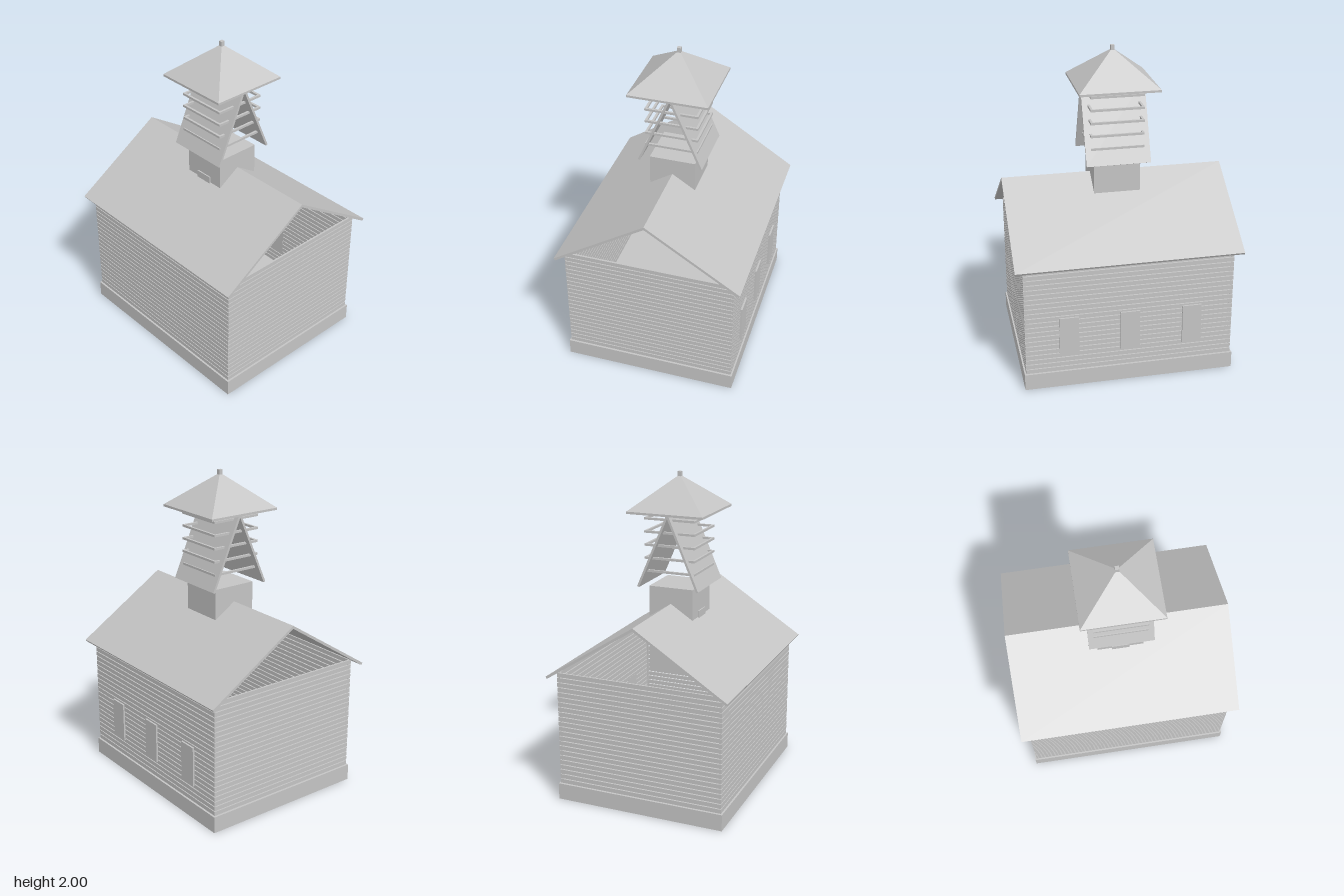
import * as THREE from 'three';

const grey = new THREE.MeshStandardMaterial({ color: 0xc4c4c4 });
grey.name = 'plain grey';
const greyTwoSided = new THREE.MeshStandardMaterial({ color: 0xc4c4c4, side: THREE.DoubleSide });
greyTwoSided.name = 'plain grey';

// Box given by its min and max corners
function box(parent, name, x0, x1, y0, y1, z0, z1) {
  const m = new THREE.Mesh(new THREE.BoxGeometry(x1 - x0, y1 - y0, z1 - z0), grey);
  m.position.set((x0 + x1) / 2, (y0 + y1) / 2, (z0 + z1) / 2);
  m.name = name;
  parent.add(m);
  return m;
}

// Inverted V of constant thickness, extruded along x
function gable(parent, name, halfX, halfZ, eaveY, ridgeY, t) {
  const s = new THREE.Shape();
  const len = Math.hypot(halfZ, ridgeY - eaveY);
  const nz = t * (ridgeY - eaveY) / len, ny = t * halfZ / len;
  const drop = t * len / halfZ;
  s.moveTo(0, ridgeY);
  s.lineTo(-halfZ, eaveY);
  s.lineTo(-halfZ + nz, eaveY - ny);
  s.lineTo(0, ridgeY - drop);
  s.lineTo(halfZ - nz, eaveY - ny);
  s.lineTo(halfZ, eaveY);
  s.closePath();
  const g = new THREE.ExtrudeGeometry(s, { depth: halfX * 2, bevelEnabled: false });
  g.translate(0, 0, -halfX);
  g.rotateY(Math.PI / 2);
  const m = new THREE.Mesh(g, grey);
  m.name = name;
  parent.add(m);
}

// Rectangular ring of four bars
function ring(parent, name, hx, hz, y, h, t) {
  const g = new THREE.Group();
  g.name = name;
  for (const s of [-1, 1]) {
    const z = s * (hz - t / 2), x = s * (hx - t / 2);
    box(g, 'longBar', -hx, hx, y, y + h, z - t / 2, z + t / 2);
    box(g, 'endBar', x - t / 2, x + t / 2, y, y + h, -hz + t, hz - t);
  }
  parent.add(g);
}

export function createModel() {
  const model = new THREE.Group();
  model.name = 'house';

  // Foundation
  box(model, 'foundation', -0.66, 0.66, 0, 0.105, -0.545, 0.545);

  // Hollow walls of spaced boards, with corner posts
  const walls = new THREE.Group();
  walls.name = 'walls';
  const rows = 23, pitch = 0.032;
  for (let i = 0; i < rows; i++) ring(walls, 'boardRow', 0.65, 0.535, 0.108 + i * pitch, 0.026, 0.012);
  for (const sx of [-1, 1]) for (const sz of [-1, 1]) {
    const x = sx * 0.638, z = sz * 0.523;
    box(walls, 'cornerPost', x - 0.006, x + 0.006, 0.1, 0.84, z - 0.006, z + 0.006);
  }
  model.add(walls);

  // Back windows
  for (const x of [-0.39, 0, 0.38])
    box(model, 'window', x - 0.06, x + 0.06, 0.22, 0.475, -0.546, -0.522);

  // Main roof
  gable(model, 'mainRoof', 0.7, 0.585, 0.823, 1.198, 0.016);

  // Tower through the roof, with a small front plaque
  box(model, 'towerBase', -0.145, 0.145, 0.75, 1.3, -0.145, 0.145);
  box(model, 'frontPlaque', -0.055, 0.055, 1.03, 1.145, 0.144, 0.153);

  // Belfry: sloping panels and louvre rings
  gable(model, 'belfryPanels', 0.2, 0.203, 1.305, 1.775, 0.014);
  for (let i = 0; i < 5; i++) ring(model, 'louvre', 0.166, 0.166, 1.393 + i * 0.0815, 0.014, 0.014);

  // Hollow pyramid cap with rim and finial
  const capGeo = new THREE.ConeGeometry(0.247 * Math.SQRT2, 0.205, 4, 1, true).toNonIndexed();
  capGeo.rotateY(Math.PI / 4);
  capGeo.computeVertexNormals();
  const cap = new THREE.Mesh(capGeo, greyTwoSided);
  cap.name = 'belfryRoof';
  cap.position.y = 1.775 + 0.1025;
  model.add(cap);
  ring(model, 'roofRim', 0.247, 0.247, 1.761, 0.014, 0.01);
  box(model, 'finial', -0.012, 0.012, 1.775, 2, -0.012, 0.012);

  return model;
}
